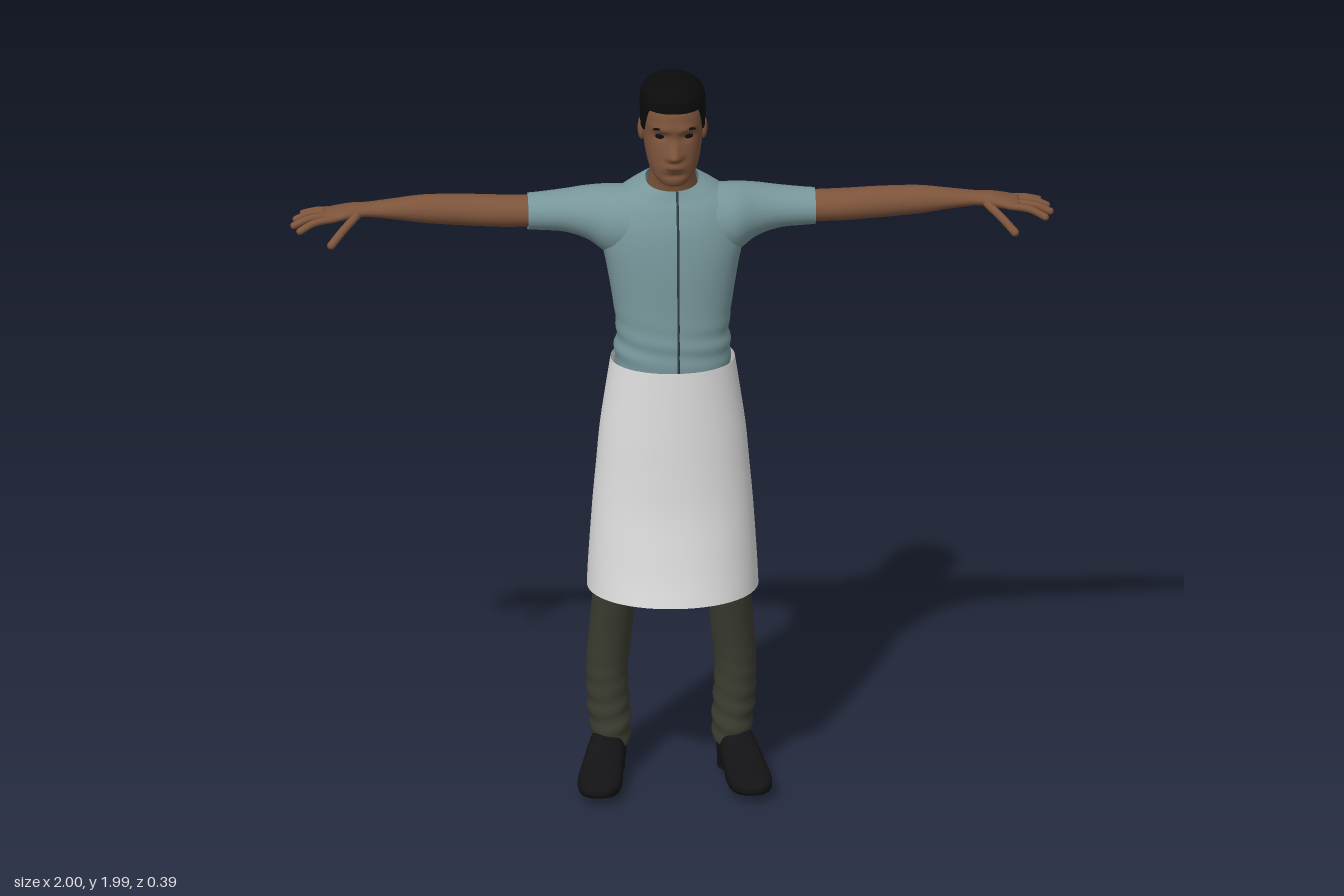
import * as THREE from 'three';
import { mergeGeometries } from 'three/addons/utils/BufferGeometryUtils.js';

const mat = (name, color, side = THREE.FrontSide) => {
  const m = new THREE.MeshStandardMaterial({ color, side });
  m.name = name;
  return m;
};

// Smoothly interpolate rings [s, aMin, aMax, bMin, bMax, tilt].
function smoothRings(rings, steps) {
  const out = [], n = rings.length;
  for (let i = 0; i < n - 1; i++) {
    const [p0, p1, p2, p3] = [-1, 0, 1, 2].map(k => rings[Math.min(n - 1, Math.max(0, i + k))]);
    for (let k = 0; k < steps; k++) {
      const t = k / steps;
      out.push(p1.map((v, c) => {
        const m1 = (p2[c] - p0[c]) / 2, m2 = (p3[c] - v) / 2, d = p2[c] - v;
        return v + m1 * t + (3 * d - 2 * m1 - m2) * t * t + (m1 + m2 - 2 * d) * t * t * t;
      }));
    }
  }
  out.push(rings[n - 1]);
  return out;
}

// Skin a closed surface over rounded cross-sections stacked along y.
function loft(rings, { segs = 32, steps = 4, caps = true, power = 1, shape } = {}) {
  const rows = smoothRings(rings, steps), pos = [], idx = [];
  const pw = v => Math.sign(v) * Math.abs(v) ** power;
  const add = v => { if (shape) shape(v); pos.push(v.x, v.y, v.z); };
  for (const [s, a0, a1, b0, b1, tilt] of rows) {
    for (let j = 0; j < segs; j++) {
      const th = j / segs * Math.PI * 2;
      const b = (b0 + b1) / 2 + (b1 - b0) / 2 * pw(Math.sin(th));
      add(new THREE.Vector3((a0 + a1) / 2 + (a1 - a0) / 2 * pw(Math.cos(th)), s + tilt * b, b));
    }
  }
  for (let i = 0; i < rows.length - 1; i++) for (let j = 0; j < segs; j++) {
    const a = i * segs + j, b = i * segs + (j + 1) % segs;
    idx.push(a, a + segs, b, b, a + segs, b + segs);
  }
  if (caps) [0, rows.length - 1].forEach((r, top) => {
    const [s, a0, a1, b0, b1, tilt] = rows[r], c = pos.length / 3, b = (b0 + b1) / 2;
    add(new THREE.Vector3((a0 + a1) / 2, s + tilt * b, b));
    for (let j = 0; j < segs; j++) {
      const p = r * segs + j, q = r * segs + (j + 1) % segs;
      idx.push(c, top ? q : p, top ? p : q);
    }
  });
  const g = new THREE.BufferGeometry();
  g.setAttribute('position', new THREE.Float32BufferAttribute(pos, 3));
  g.setIndex(idx);
  g.computeVertexNormals();
  return g;
}

// Ring shorthands: symmetric about x = 0, along the arm (x), along the shoe (z).
const ring = ([y, rx, back, front, tilt = 0]) => [y, -rx, rx, back, front, tilt];
const armLoft = (list, o) => loft(list.map(([x, top, bot, b, f]) => [x, -top, -bot, b, f, 0]), o).rotateZ(-Math.PI / 2);
const shoeLoft = (list, o) => loft(list.map(([z, cx, r, top, bot]) => [z, cx - r, cx + r, -top, -bot, 0]), o).rotateX(Math.PI / 2);

function mirrored(geo) {
  const g = geo.clone().scale(-1, 1, 1), ix = g.index.array;
  for (let i = 0; i < ix.length; i += 3) [ix[i], ix[i + 1]] = [ix[i + 1], ix[i]];
  g.computeVertexNormals();
  return g;
}

const bump = (d, w) => Math.exp(-d * d / (w * w));

export function createModel() {
  const model = new THREE.Group();
  model.name = 'standingMan';
  const skin = mat('skin', 0x7d543b), shirtMat = mat('shirt', 0x78979b, THREE.DoubleSide);
  const apronMat = mat('apron', 0xdedede, THREE.DoubleSide), trouserMat = mat('trousers', 0x3b3c30);
  const shoeMat = mat('shoes', 0x131315), hairMat = mat('hair', 0x0b0b0c);
  const trim = mat('trim', 0x2f4043), lipMat = mat('lips', 0x6a4232);
  const add = (name, geo, m) => {
    const mesh = new THREE.Mesh(geo, m);
    mesh.name = name;
    model.add(mesh);
  };
  const pair = (name, geo, m) => {
    add(name + 'Left', geo, m);
    add(name + 'Right', mirrored(geo), m);
  };
  const ball = (x, y, z, rx, ry, rz) => new THREE.SphereGeometry(1, 20, 14).scale(rx, ry, rz).translate(x, y, z);

  // Head with nose, brow, sockets, lips and chin pushed out of the face
  const face = v => {
    if (v.z < 0.03) return;
    const { x, y } = v, ax = Math.abs(x);
    const noseY = y > 1.803 ? bump(y - 1.803, 0.034) : bump(y - 1.803, 0.011);
    v.z += 0.027 * noseY * bump(x, 0.013) + 0.008 * bump(y - 1.803, 0.012) * bump(ax - 0.015, 0.01);
    v.z += 0.006 * bump(y - 1.878, 0.012) * bump(ax - 0.03, 0.03);
    v.z -= 0.01 * bump(y - 1.855, 0.013) * bump(ax - 0.034, 0.02);
    v.z += 0.01 * bump(y - 1.773, 0.014) * bump(x, 0.028);
    v.z -= 0.005 * bump(y - 1.748, 0.009) * bump(x, 0.03);
  };
  add('head', loft([
    [1.712, 0.02, 0.05, 0.085], [1.72, 0.04, 0, 0.097], [1.74, 0.057, -0.04, 0.104], [1.765, 0.067, -0.07, 0.105],
    [1.8, 0.074, -0.088, 0.104], [1.84, 0.079, -0.097, 0.1], [1.88, 0.081, -0.101, 0.104], [1.92, 0.08, -0.1, 0.1],
    [1.955, 0.068, -0.085, 0.08], [1.97, 0.04, -0.05, 0.05]].map(ring), { segs: 64, steps: 7, power: 0.94, shape: face }), skin);
  add('neck', loft([[1.6, 0.08, -0.1, 0.02], [1.68, 0.066, -0.092, 0.03], [1.72, 0.06, -0.086, 0.042],
    [1.79, 0.06, -0.083, 0.045]].map(ring)), skin);
  pair('ear', ball(0.081, 1.843, -0.006, 0.011, 0.032, 0.018).rotateY(0.02), skin);
  pair('eye', ball(0.034, 1.855, 0.081, 0.016, 0.008, 0.008), hairMat);
  pair('eyebrow', ball(0.036, 1.879, 0.093, 0.021, 0.004, 0.006), hairMat);
  add('lips', ball(0, 1.772, 0.108, 0.024, 0.007, 0.008), lipMat);

  // Short hair: high hairline in front, lower at the sides and back
  add('hair', loft([[1.85, 0.084, -0.104, 0.104], [1.89, 0.086, -0.107, 0.107], [1.93, 0.086, -0.107, 0.106],
    [1.96, 0.079, -0.098, 0.096], [1.98, 0.056, -0.07, 0.068], [1.988, 0.025, -0.03, 0.03]].map(ring), {
    segs: 48, steps: 6, power: 0.94,
    shape: v => { v.y = Math.max(v.y, 1.857 + 0.068 * THREE.MathUtils.smoothstep(v.z, 0.04, 0.07)); },
  }), hairMat);

  // Shirt body with soft folds above the waist
  const folds = v => {
    const k = 0.022 * bump(v.y - 1.25, 0.06) * Math.sin(v.y * 110 + v.x * 14 + v.z * 9);
    v.x *= 1 + k;
    v.z *= 1 + k;
  };
  const body = [[1.17, 0.15, -0.12, 0.11], [1.22, 0.153, -0.115, 0.108], [1.28, 0.148, -0.106, 0.105],
    [1.36, 0.157, -0.112, 0.1], [1.45, 0.172, -0.13, 0.097], [1.52, 0.185, -0.138, 0.09], [1.58, 0.185, -0.14, 0.078],
    [1.63, 0.165, -0.135, 0.06, -0.04], [1.66, 0.122, -0.12, 0.045, -0.12], [1.685, 0.07, -0.101, 0.036, -0.2]].map(ring);
  add('shirtBody', loft(body, { segs: 56, steps: 6, caps: false, power: 0.92, shape: folds }), shirtMat);
  pair('sleeve', armLoft([[0.07, 1.665, 1.47, -0.13, 0.06], [0.16, 1.664, 1.478, -0.14, 0.05],
    [0.22, 1.654, 1.513, -0.142, 0.015], [0.28, 1.643, 1.531, -0.136, -0.008], [0.34, 1.636, 1.536, -0.13, -0.016],
    [0.377, 1.633, 1.538, -0.127, -0.018]], { caps: false }), shirtMat);
  const opening = smoothRings(body, 6).map(r => {
    const p = new THREE.Vector3(0.01, r[0] + r[5] * r[4], r[4]);
    folds(p);
    return p;
  });
  add('frontOpening', new THREE.TubeGeometry(new THREE.CatmullRomCurve3(opening), 80, 0.0035, 5), trim);

  // Bare arms and palms
  pair('arm', armLoft([[0.3, 1.627, 1.547, -0.118, -0.026], [0.375, 1.628, 1.546, -0.12, -0.025],
    [0.45, 1.63, 1.547, -0.12, -0.024], [0.55, 1.634, 1.552, -0.118, -0.03], [0.65, 1.634, 1.56, -0.115, -0.035],
    [0.73, 1.626, 1.573, -0.106, -0.038], [0.8, 1.618, 1.581, -0.1, -0.042], [0.84, 1.616, 1.579, -0.105, -0.032],
    [0.88, 1.608, 1.576, -0.11, -0.02], [0.912, 1.6, 1.577, -0.106, -0.02]], { segs: 28 }), skin);

  // Fingers and thumb: root, middle, tip, radius
  const fingers = [
    [[0.88, 1.592, -0.028], [0.94, 1.587, -0.012], [0.978, 1.57, 0], 0.0095],
    [[0.89, 1.592, -0.05], [0.95, 1.589, -0.04], [0.992, 1.573, -0.033], 0.0095],
    [[0.89, 1.591, -0.074], [0.95, 1.59, -0.072], [0.985, 1.576, -0.07], 0.009],
    [[0.88, 1.591, -0.097], [0.93, 1.589, -0.1], [0.965, 1.58, -0.104], 0.008],
    [[0.825, 1.596, -0.042], [0.865, 1.568, -0.002], [0.897, 1.538, 0.024], 0.011],
  ].map(([a, b, c, r]) => {
    const path = new THREE.CatmullRomCurve3([a, b, c].map(p => new THREE.Vector3(...p)));
    return mergeGeometries([new THREE.TubeGeometry(path, 12, r, 12), new THREE.SphereGeometry(r, 12, 8).translate(...c)]);
  });
  pair('fingers', mergeGeometries(fingers), skin);

  // Long wraparound apron, open at top and hem
  add('apron', loft([[0.555, 0.225, -0.192, 0.185], [0.62, 0.222, -0.178, 0.172], [0.7, 0.217, -0.163, 0.16],
    [0.8, 0.21, -0.148, 0.147], [0.9, 0.201, -0.144, 0.142], [1, 0.192, -0.142, 0.139], [1.1, 0.178, -0.138, 0.136],
    [1.2, 0.163, -0.129, 0.133]].map(ring), { segs: 56, caps: false, power: 0.96 }), apronMat);

  // Trouser legs, wrinkled toward the ankle
  pair('trouserLeg', loft([[0.085, 0.11, 0.208, -0.13, -0.002, 0], [0.13, 0.106, 0.212, -0.134, -0.004, 0],
    [0.2, 0.11, 0.22, -0.137, -0.01, 0], [0.3, 0.113, 0.223, -0.138, -0.008, 0], [0.4, 0.103, 0.217, -0.13, 0.003, 0],
    [0.55, 0.086, 0.205, -0.112, 0.03, 0], [0.75, 0.04, 0.19, -0.11, 0.06, 0], [0.95, 0, 0.16, -0.1, 0.08, 0],
    [1.15, 0, 0.14, -0.1, 0.09, 0]], {
    steps: 7,
    shape: v => {
      const k = 0.05 * bump(v.y - 0.17, 0.12) * Math.sin(v.y * 120 + v.x * 30 + v.z * 25);
      v.x += (v.x - 0.163) * k;
      v.z += (v.z + 0.07) * k;
    },
  }), trouserMat);

  // Leather shoes with toes turned out, on low heels
  pair('shoe', shoeLoft([[-0.136, 0.163, 0.022, 0.085, 0.015], [-0.122, 0.163, 0.04, 0.115, 0.004],
    [-0.06, 0.166, 0.048, 0.13, 0.004], [-0.01, 0.175, 0.05, 0.122, 0.01], [0.04, 0.186, 0.055, 0.09, 0.01],
    [0.1, 0.195, 0.059, 0.07, 0.004], [0.15, 0.199, 0.053, 0.062, 0.01], [0.184, 0.201, 0.034, 0.052, 0.022],
    [0.196, 0.202, 0.014, 0.044, 0.03]], { power: 0.78 }), shoeMat);
  pair('shoeHeel', new THREE.CylinderGeometry(0.044, 0.044, 0.03, 24).scale(1, 1, 1.1).translate(0.165, 0.015, -0.084), shoeMat);

  return model;
}
